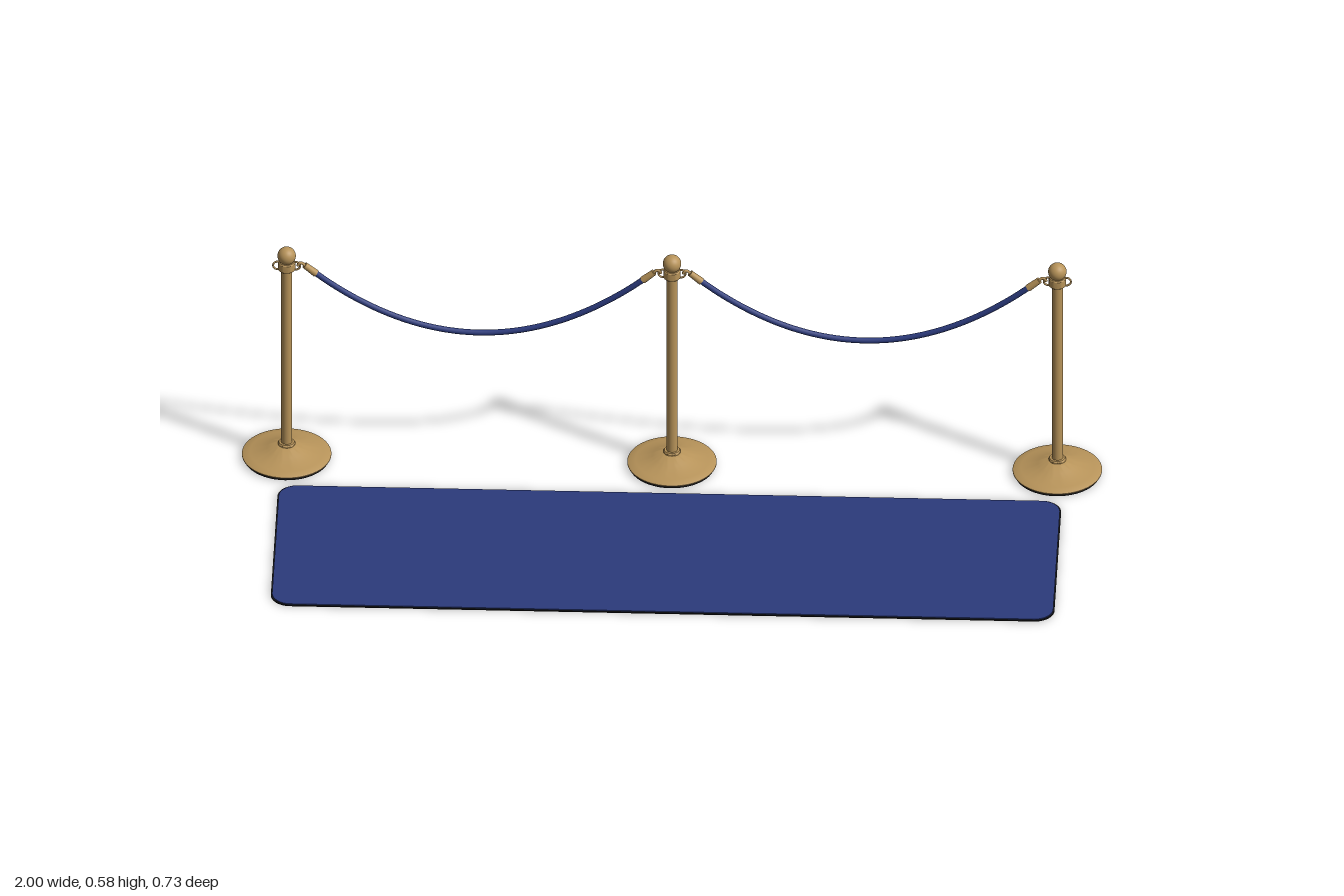
import * as THREE from 'three';
import { toCreasedNormals } from 'three/addons/utils/BufferGeometryUtils.js';

const brass = new THREE.MeshStandardMaterial({ color: 0xb8945a });
brass.name = 'brass';
const blue = new THREE.MeshStandardMaterial({ color: 0x2b3a7c });
blue.name = 'blue fabric';
const black = new THREE.MeshStandardMaterial({ color: 0x161618 });
black.name = 'black rubber';

const POST_X = 0.896, POST_Z = -0.262;

function part(parent, name, geometry, material, x = 0, y = 0, z = 0) {
  const mesh = new THREE.Mesh(geometry, material);
  mesh.name = name;
  mesh.position.set(x, y, z);
  parent.add(mesh);
  return mesh;
}

function lathe(points, segments = 48) {
  const profile = points.map(([r, y]) => new THREE.Vector2(r, y));
  return toCreasedNormals(new THREE.LatheGeometry(profile, segments), 0.5);
}

// Stanchion: weighted base, pole, collar with rope rings, ball finial
function createPost(x) {
  const post = new THREE.Group();
  post.name = 'post';
  post.position.set(x, 0, POST_Z);
  part(post, 'basePad', new THREE.CylinderGeometry(0.1, 0.1, 0.005, 48), black, 0, 0.0025);
  part(post, 'base', lathe([
    [0, 0.005], [0.101, 0.005], [0.104, 0.007], [0.104, 0.009], [0.101, 0.011],
    [0.085, 0.014], [0.065, 0.019], [0.045, 0.026], [0.028, 0.034], [0.022, 0.036], [0, 0.036],
  ]), brass);
  part(post, 'baseRing', lathe([
    [0, 0.034], [0.02, 0.034], [0.02, 0.039], [0.018, 0.042], [0, 0.042],
  ], 32), brass);
  part(post, 'pole', new THREE.CylinderGeometry(0.0128, 0.0128, 0.5, 32), brass, 0, 0.285);
  part(post, 'collar', lathe([
    [0, 0.522], [0.018, 0.522], [0.02, 0.524], [0.02, 0.542], [0.018, 0.545], [0, 0.545],
  ], 32), brass);
  part(post, 'finial', new THREE.SphereGeometry(0.0215, 32, 20), brass, 0, 0.5605);
  for (const side of [-1, 1]) {
    part(post, 'ropeRing', new THREE.TorusGeometry(0.0105, 0.0023, 10, 24), brass, side * 0.021, 0.533);
  }
  return post;
}

// Sagging rope with a brass ferrule and hook at both ends
function createRope(centerX) {
  const rope = new THREE.Group();
  rope.name = 'rope';
  rope.position.set(centerX, 0, POST_Z);
  const half = POST_X / 2 - 0.042, low = 0.357, high = 0.535;
  const pointAt = (x) => new THREE.Vector3(x, low + (high - low) * (x / half) ** 2, 0);
  const sweep = (from, to, count) => new THREE.CatmullRomCurve3(
    Array.from({ length: count }, (_, i) => pointAt(from + (to - from) * i / (count - 1))));
  part(rope, 'cord', new THREE.TubeGeometry(sweep(-half + 0.012, half - 0.012, 17), 64, 0.0068, 12), blue);
  const up = new THREE.Vector3(0, 1, 0);
  for (const side of [-1, 1]) {
    const inner = pointAt(side * (half - 0.026)), outer = pointAt(side * half);
    const direction = outer.clone().sub(inner);
    const mid = inner.clone().add(outer).multiplyScalar(0.5);
    const ferrule = part(rope, 'ferrule',
      new THREE.CylinderGeometry(0.0075, 0.0088, direction.length(), 20), brass, mid.x, mid.y);
    ferrule.quaternion.setFromUnitVectors(up, direction.normalize());
    const hook = new THREE.CatmullRomCurve3([
      outer, new THREE.Vector3(side * (half + 0.006), 0.5405, 0),
      new THREE.Vector3(side * (half + 0.013), 0.54, 0), new THREE.Vector3(side * (half + 0.016), 0.533, 0),
    ]);
    part(rope, 'hook', new THREE.TubeGeometry(hook, 16, 0.0035, 10), brass);
  }
  return rope;
}

// Rounded rectangle slab lying flat, with its lowest face at y
function slab(width, depth, radius, height) {
  const w = width / 2, d = depth / 2, shape = new THREE.Shape();
  shape.moveTo(-w + radius, -d);
  shape.lineTo(w - radius, -d);
  shape.absarc(w - radius, -d + radius, radius, -Math.PI / 2, 0);
  shape.absarc(w - radius, d - radius, radius, 0, Math.PI / 2);
  shape.absarc(-w + radius, d - radius, radius, Math.PI / 2, Math.PI);
  shape.absarc(-w + radius, -d + radius, radius, Math.PI, Math.PI * 1.5);
  return new THREE.ExtrudeGeometry(shape, { depth: height, bevelEnabled: false, curveSegments: 10 })
    .rotateX(-Math.PI / 2);
}

export function createModel() {
  const model = new THREE.Group();
  model.name = 'ropeBarrierWithCarpet';
  for (const x of [-POST_X, 0, POST_X]) model.add(createPost(x));
  for (const side of [-1, 1]) model.add(createRope(side * POST_X / 2));

  // Carpet with a rubber backing
  const carpet = new THREE.Group();
  carpet.name = 'carpet';
  carpet.position.z = 0.114;
  part(carpet, 'carpetBacking', slab(1.822, 0.502, 0.046, 0.003), black);
  part(carpet, 'carpetPile', slab(1.816, 0.496, 0.044, 0.002), blue, 0, 0.003);
  model.add(carpet);
  return model;
}
